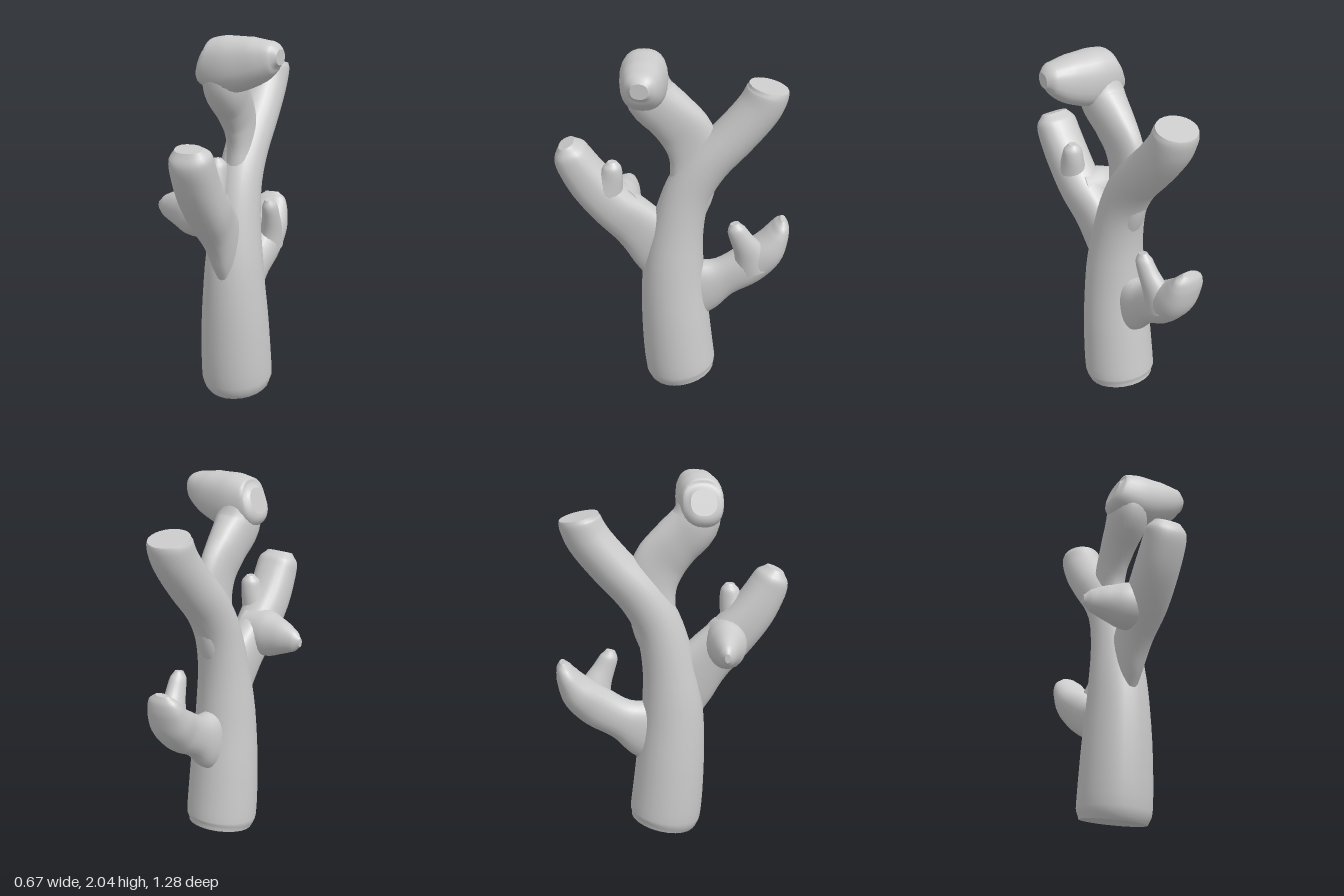
import * as THREE from 'three';

const SIDES = 24;
const STEPS = 4; // rings between two listed sections
const material = new THREE.MeshStandardMaterial({ color: 0xcccccc });
const X = new THREE.Vector3(1, 0, 0);
const Z = new THREE.Vector3(0, 0, 1);

// Smooth limb swept through sections [x, y, z, half width along side, half depth].
// power < 1 makes the cross-section squarer.
function limb(name, sections, side = X, power = 1) {
  const path = new THREE.CatmullRomCurve3(sections.map(s => new THREE.Vector3(s[0], s[1], s[2])));
  const size = new THREE.CatmullRomCurve3(
    sections.map(s => new THREE.Vector3(s[3], s[4], 0)), false, 'catmullrom', 0.4);
  const rings = (sections.length - 1) * STEPS;
  const pos = [], index = [];
  const bulge = v => Math.sign(v) * Math.abs(v) ** power;

  for (let i = 0; i <= rings; i++) {
    const c = path.getPoint(i / rings), r = size.getPoint(i / rings);
    const t = path.getTangent(i / rings);
    const s = side.clone().addScaledVector(t, -side.dot(t)).normalize();
    const n = t.clone().cross(s);
    for (let j = 0; j < SIDES; j++) {
      const a = (j / SIDES) * Math.PI * 2;
      const p = c.clone().addScaledVector(s, r.x * bulge(Math.cos(a))).addScaledVector(n, r.y * bulge(Math.sin(a)));
      pos.push(p.x, p.y, p.z);
    }
  }
  for (let i = 0; i < rings; i++) {
    for (let j = 0; j < SIDES; j++) {
      const a = i * SIDES + j, b = i * SIDES + (j + 1) % SIDES;
      index.push(a, b, a + SIDES, b, b + SIDES, a + SIDES);
    }
  }
  // flat caps with their own vertices, so the rim stays crisp
  for (const end of [0, rings]) {
    const first = pos.length / 3;
    pos.push(...pos.slice(end * SIDES * 3, (end + 1) * SIDES * 3));
    pos.push(...path.getPoint(end / rings).toArray());
    for (let j = 0; j < SIDES; j++) {
      const a = first + j, b = first + (j + 1) % SIDES;
      index.push(first + SIDES, end ? a : b, end ? b : a);
    }
  }
  const geometry = new THREE.BufferGeometry();
  geometry.setAttribute('position', new THREE.Float32BufferAttribute(pos, 3));
  geometry.setIndex(index);
  geometry.computeVertexNormals();
  const mesh = new THREE.Mesh(geometry, material);
  mesh.name = name;
  return mesh;
}

export function createModel() {
  const group = new THREE.Group();
  group.name = 'branchingTrunk';

  // main trunk, leaning back to a flat cut end
  group.add(limb('trunk', [
    [0, 0, -0.055, 0.18, 0.185],
    [0, 0.06, -0.042, 0.2, 0.203],
    [0, 0.35, -0.015, 0.192, 0.195],
    [0, 0.7, 0, 0.165, 0.172],
    [0, 1.0, -0.03, 0.135, 0.142],
    [0, 1.2, -0.085, 0.122, 0.13],
    [0, 1.36, -0.18, 0.12, 0.125],
    [0, 1.52, -0.325, 0.12, 0.12],
    [0, 1.68, -0.45, 0.12, 0.118],
    [0, 1.765, -0.488, 0.12, 0.114],
    [0, 1.797, -0.495, 0.11, 0.106],
  ]));

  // upper front branch: narrow stem flaring into a sideways stub
  group.add(limb('upperStem', [
    [0, 1.0, -0.05, 0.07, 0.1],
    [0, 1.2, -0.1, 0.085, 0.125],
    [0, 1.38, -0.11, 0.07, 0.13],
    [0, 1.52, -0.075, 0.07, 0.145],
    [0, 1.63, 0.01, 0.088, 0.138],
    [0, 1.74, 0.115, 0.11, 0.135],
    [0, 1.87, 0.15, 0.1, 0.11],
  ], X, 0.9));
  group.add(limb('upperStub', [
    [-0.108, 1.87, 0.15, 0.07, 0.07],
    [-0.08, 1.86, 0.15, 0.11, 0.125],
    [0.04, 1.85, 0.15, 0.125, 0.15],
    [0.19, 1.875, 0.155, 0.11, 0.125],
    [0.29, 1.9, 0.16, 0.085, 0.08],
    [0.33, 1.9, 0.165, 0.045, 0.04],
  ], Z, 0.85));

  // lower front branch with a side spur and a small knob
  group.add(limb('frontBranch', [
    [0, 0.68, 0, 0.05, 0.15],
    [0, 0.84, 0.08, 0.07, 0.17],
    [0, 0.98, 0.2, 0.085, 0.145],
    [0, 1.1, 0.325, 0.11, 0.132],
    [0, 1.24, 0.445, 0.115, 0.122],
    [0.005, 1.37, 0.525, 0.115, 0.106],
    [0.005, 1.43, 0.55, 0.11, 0.09],
    [0.005, 1.475, 0.568, 0.075, 0.045],
  ], X, 0.85));
  group.add(limb('frontSpur', [
    [0.03, 1.09, 0.3, 0.12, 0.13],
    [-0.1, 1.08, 0.285, 0.11, 0.132],
    [-0.2, 1.085, 0.265, 0.08, 0.1],
    [-0.29, 1.085, 0.25, 0.045, 0.062],
    [-0.33, 1.085, 0.245, 0.015, 0.025],
  ], Z));
  group.add(limb('frontKnob', [
    [0.03, 1.2, 0.365, 0.08, 0.1],
    [0.045, 1.29, 0.335, 0.06, 0.068],
    [0.05, 1.355, 0.325, 0.05, 0.05],
    [0.05, 1.388, 0.325, 0.022, 0.025],
  ]));

  // back branch, forked into a thick tip and a thin spur
  group.add(limb('backBranch', [
    [0, 0.52, -0.03, 0.08, 0.19],
    [0, 0.585, -0.17, 0.085, 0.165],
    [0, 0.645, -0.29, 0.085, 0.115],
    [0, 0.725, -0.42, 0.1, 0.115],
    [-0.01, 0.815, -0.52, 0.115, 0.1],
    [-0.02, 0.915, -0.58, 0.105, 0.065],
    [-0.02, 0.97, -0.6, 0.085, 0.042],
    [-0.02, 1.005, -0.607, 0.04, 0.016],
  ], X, 0.9));
  group.add(limb('backSpur', [
    [0.03, 0.72, -0.45, 0.075, 0.11],
    [0.05, 0.83, -0.42, 0.06, 0.085],
    [0.065, 0.92, -0.375, 0.05, 0.062],
    [0.07, 0.985, -0.345, 0.043, 0.05],
    [0.07, 1.025, -0.335, 0.022, 0.026],
  ]));

  return group;
}
